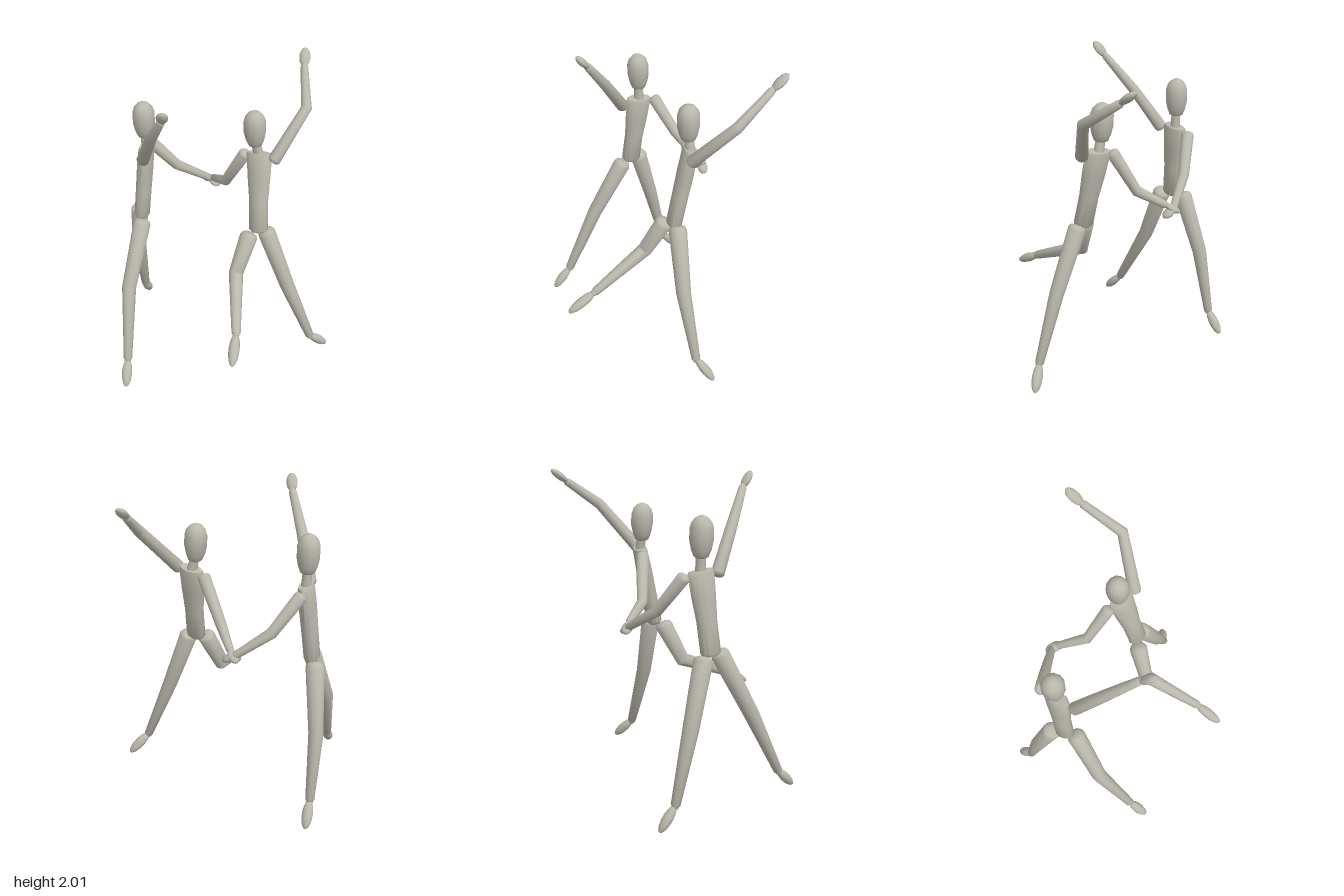
import * as THREE from 'three';
import { toCreasedNormals } from 'three/addons/utils/BufferGeometryUtils.js';

const V = (a) => new THREE.Vector3(...a);
const SIDES = 12;

// Closed skin over rings [centre, half width, half depth]; width runs along the side vector.
function loft(rings, side) {
  const centres = rings.map((r) => r[0]);
  const pos = [], index = [], n = rings.length;
  rings.forEach(([c, w, d], i) => {
    const before = centres[Math.max(i - 1, 0)], after = centres[Math.min(i + 1, n - 1)];
    const t = new THREE.Vector3();
    if (i > 0) t.add(c.clone().sub(before).normalize());
    if (i < n - 1) t.add(after.clone().sub(c).normalize());
    t.normalize();
    const u = side.clone().addScaledVector(t, -side.dot(t)).normalize();
    const v = t.clone().cross(u);
    for (let k = 0; k < SIDES; k++) {
      const a = (k / SIDES) * Math.PI * 2;
      const p = c.clone().addScaledVector(u, w * Math.cos(a)).addScaledVector(v, d * Math.sin(a));
      pos.push(p.x, p.y, p.z);
    }
  });
  for (let i = 0; i < n - 1; i++) {
    for (let k = 0; k < SIDES; k++) {
      const a = i * SIDES + k, b = i * SIDES + (k + 1) % SIDES;
      index.push(a, b, b + SIDES, a, b + SIDES, a + SIDES);
    }
  }
  const c0 = n * SIDES, last = (n - 1) * SIDES;
  pos.push(...centres[0].toArray(), ...centres[n - 1].toArray());
  for (let k = 0; k < SIDES; k++) {
    const j = (k + 1) % SIDES;
    index.push(c0, j, k, c0 + 1, last + k, last + j);
  }
  const g = new THREE.BufferGeometry();
  g.setAttribute('position', new THREE.Float32BufferAttribute(pos, 3));
  g.setIndex(index);
  return toCreasedNormals(g, 0.75);
}

// Rings spaced along a straight axis from a profile of [fraction, width, depth]
const along = (a, b, profile) => profile.map(([f, w, d]) => [a.clone().lerp(b, f), w, d ?? w]);

const ARM = [0.04, 0.034, 0.024];
const LEG = [0.058, 0.048, 0.029];
const TORSO = [[0, 0.05, 0.04], [0.03, 0.064, 0.05], [0.4, 0.063, 0.051], [0.7, 0.077, 0.051], [0.97, 0.086, 0.046], [1, 0.079, 0.04]];
const HEAD = [[0, 0.026], [0.04, 0.043], [0.2, 0.058], [0.42, 0.069], [0.7, 0.069], [0.85, 0.058], [0.95, 0.038], [1, 0.016]];

const dancers = [
  {
    name: 'leftDancer', side: [0, 0, 1],
    torso: [[-0.57, 0.99, -0.07], [-0.525, 1.49, -0.12]],
    head: [[-0.53, 1.56, -0.12], [-0.53, 1.8, -0.115]],
    arms: [
      { name: 'raisedArm', path: [[-0.515, 1.46, 0], [-0.41, 1.7, 0.15], [-0.295, 1.91, 0.295]], tip: [-0.26, 2, 0.37], side: [1, 0, 0] },
      { name: 'joinedArm', path: [[-0.525, 1.455, -0.23], [-0.39, 1.245, -0.33], [-0.2, 1.11, -0.43]], tip: [-0.12, 1.06, -0.42], side: [0, 0, 1] },
    ],
    legs: [
      { name: 'frontLeg', path: [[-0.55, 0.975, 0.005], [-0.605, 0.58, 0.2], [-0.573, 0.145, 0.43]], tip: [-0.555, 0.01, 0.56] },
      { name: 'backLeg', path: [[-0.61, 0.975, -0.145], [-0.67, 0.58, -0.26], [-0.68, 0.148, -0.36]], tip: [-0.688, 0, -0.47] },
    ],
  },
  {
    name: 'rightDancer', side: [0.97, 0, 0.24],
    torso: [[0.215, 0.99, -0.05], [0.187, 1.505, -0.165]],
    head: [[0.163, 1.555, -0.16], [0.15, 1.79, -0.16]],
    arms: [
      { name: 'raisedArm', path: [[0.287, 1.485, -0.13], [0.445, 1.76, -0.325], [0.392, 1.92, -0.56]], tip: [0.38, 2, -0.665], side: [1, 0, 0] },
      { name: 'joinedArm', path: [[0.092, 1.47, -0.19], [-0.045, 1.21, -0.26], [-0.158, 1.13, -0.4]], tip: [-0.225, 1.08, -0.46], side: [1, 0, -1] },
    ],
    legs: [
      { name: 'kickingLeg', path: [[0.16, 0.97, -0.005], [0.1, 0.74, 0.1], [0.177, 0.57, 0.475]], tip: [0.19, 0.465, 0.665] },
      { name: 'standingLeg', path: [[0.27, 0.98, -0.055], [0.425, 0.58, -0.035], [0.598, 0.145, -0.055]], tip: [0.708, 0.01, -0.14] },
    ],
  },
];

export function createModel() {
  const clay = new THREE.MeshStandardMaterial({ color: 0xbab7ab });
  const model = new THREE.Group();

  const addMesh = (parent, name, geometry) => {
    const mesh = new THREE.Mesh(geometry, clay);
    mesh.name = name;
    parent.add(mesh);
    return mesh;
  };

  // Bent tapering limb with domed ends, a joint ball and a flattened oval hand or foot
  const addLimb = (parent, limb, radii, endName, halfW, halfD) => {
    const group = new THREE.Group();
    group.name = limb.name;
    const [a, b, c] = limb.path.map(V), tip = V(limb.tip);
    const side = V(limb.side ?? [1, 0, 0]);
    const [r0, r1, r2] = radii;
    const out0 = a.clone().sub(b).normalize(), out1 = c.clone().sub(b).normalize();
    addMesh(group, 'limb', loft([
      [a.clone().addScaledVector(out0, r0 * 0.5), r0 * 0.5, r0 * 0.5],
      [a.clone().addScaledVector(out0, r0 * 0.32), r0 * 0.85, r0 * 0.85],
      [a, r0, r0], [b, r1, r1], [c, r2, r2],
      [c.clone().addScaledVector(out1, r2 * 0.35), r2 * 0.65, r2 * 0.65],
    ], side));
    addMesh(group, 'joint', new THREE.SphereGeometry(r2 * 0.8, 10, 8)).position.copy(c).addScaledVector(out1, r2 * 0.3);
    const oval = [0.01, 0.08, 0.22, 0.42, 0.62, 0.8, 0.93, 0.99].map((f) => {
      const s = 2 * Math.sqrt(f * (1 - f));
      return [f, halfW * s, halfD * s];
    });
    addMesh(group, endName, loft(along(c, tip, oval), side));
    parent.add(group);
  };

  for (const d of dancers) {
    const figure = new THREE.Group();
    figure.name = d.name;
    const side = V(d.side);
    const [hip, chest] = d.torso.map(V), [chin, crown] = d.head.map(V);
    addMesh(figure, 'torso', loft(along(hip, chest, TORSO), side));
    addMesh(figure, 'neck', loft(along(chest.clone().setY(chest.y - 0.03), chin.clone().setY(chin.y + 0.03), [[0, 0.032], [1, 0.028]]), side));
    addMesh(figure, 'head', loft(along(chin, crown, HEAD), side));
    d.arms.forEach((arm) => addLimb(figure, arm, ARM, 'hand', 0.035, 0.023));
    d.legs.forEach((leg) => addLimb(figure, leg, LEG, 'foot', 0.035, 0.031));
    model.add(figure);
  }
  return model;
}
